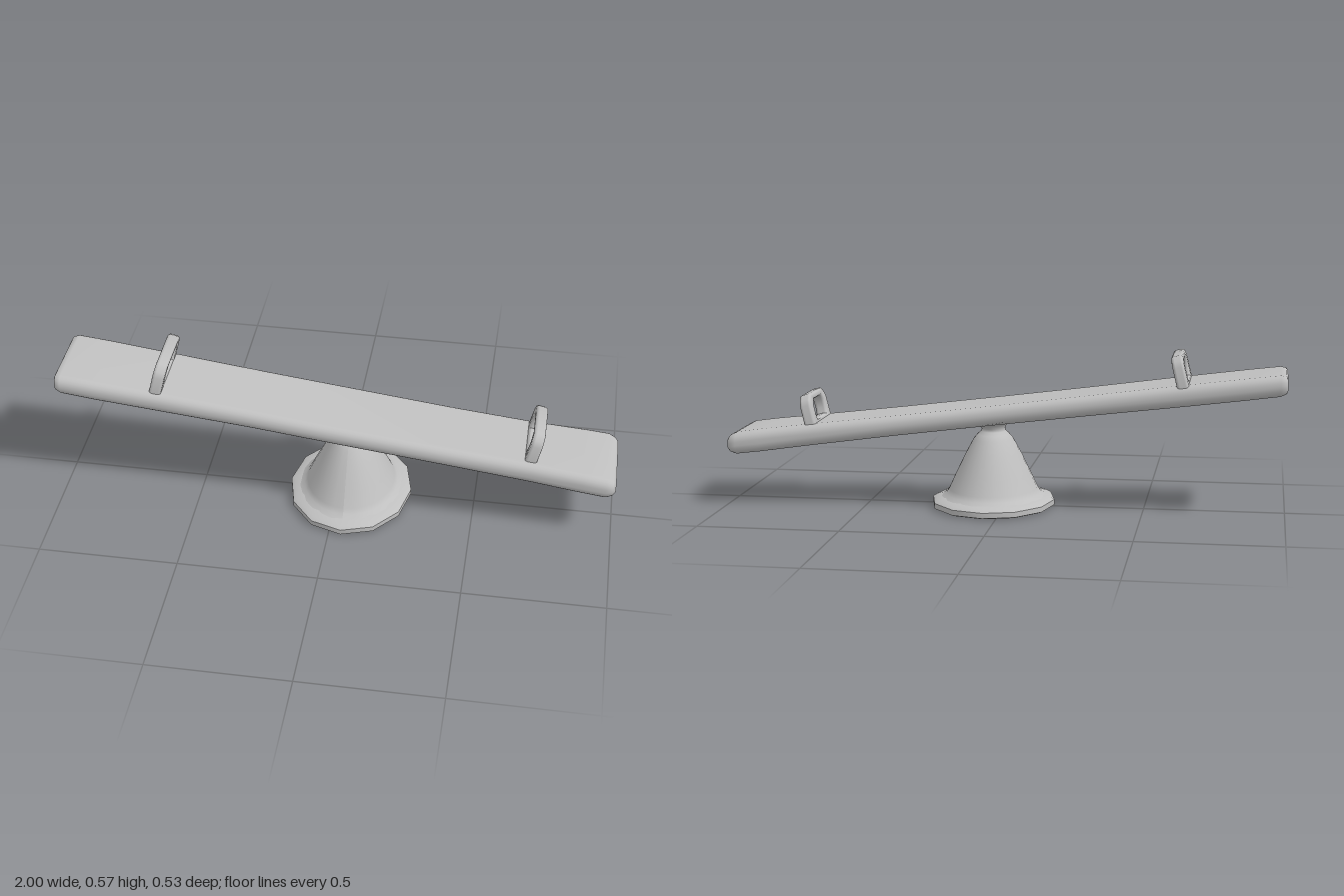
import * as THREE from 'three';
import { toCreasedNormals } from 'three/addons/utils/BufferGeometryUtils.js';

const SLOPE = -0.127;

// Rounded-rectangle ring: list of [y, z] running from +y towards +z
function ring(hw, hh, r, steps = 5) {
  const pts = [];
  const corners = [[1, 1, 0], [-1, 1, 1], [-1, -1, 2], [1, -1, 3]];
  for (const [sy, sz, q] of corners) {
    for (let k = 0; k <= steps; k++) {
      const a = (q + k / steps) * Math.PI / 2;
      pts.push([sy * (hh - r) + r * Math.cos(a), sz * (hw - r) + r * Math.sin(a)]);
    }
  }
  return pts;
}

// Plank lofted along x; stations are [x, centre z, half width, half height]
function plankGeometry() {
  const stations = [
    [-1, 0.017, 0.130, 0.020], [-0.995, 0.017, 0.143, 0.030], [-0.975, 0.017, 0.151, 0.037],
    [-0.85, 0.016, 0.151, 0.038], [-0.62, 0.014, 0.147, 0.038], [-0.3, 0.011, 0.144, 0.036],
    [0.04, 0.010, 0.145, 0.035], [0.4, 0.008, 0.144, 0.036], [0.7, 0.004, 0.145, 0.039],
    [0.88, 0.000, 0.152, 0.041], [0.965, -0.002, 0.155, 0.040], [0.99, -0.002, 0.146, 0.031],
    [1, -0.002, 0.132, 0.020],
  ];
  const pos = [], idx = [];
  let n = 0;
  for (const [x, cz, hw, hh] of stations) {
    const pts = ring(hw, hh, Math.min(0.033, hh * 0.9));
    n = pts.length;
    for (const [y, z] of pts) pos.push(x, 0.348 + SLOPE * x + y, cz + z);
  }
  const last = stations.length - 1;
  for (let i = 0; i < last; i++) {
    for (let j = 0; j < n; j++) {
      const a = i * n + j, b = i * n + (j + 1) % n;
      idx.push(a, b, a + n, b, b + n, a + n);
    }
  }
  // end caps
  for (const i of [0, last]) {
    const c = pos.length / 3, [x, cz] = stations[i];
    pos.push(x, 0.348 + SLOPE * x, cz);
    for (let j = 0; j < n; j++) {
      const a = i * n + j, b = i * n + (j + 1) % n;
      if (i === 0) idx.push(c, b, a); else idx.push(c, a, b);
    }
  }
  const g = new THREE.BufferGeometry();
  g.setAttribute('position', new THREE.Float32BufferAttribute(pos, 3));
  g.setIndex(idx);
  g.computeVertexNormals();
  return g;
}

const lathe = (pts, seg) => new THREE.LatheGeometry(pts.map(p => new THREE.Vector2(...p)), seg);

// Grab handle: chamfered arch with a hand opening, lying across the plank
function handleGeometry() {
  const poly = (P, pts) => new P(pts.map(p => new THREE.Vector2(...p)));
  const shape = poly(THREE.Shape, [
    [-0.132, -0.025], [0.132, -0.025], [0.13, 0.065], [0.118, 0.085], [0.09, 0.102],
    [-0.09, 0.102], [-0.118, 0.085], [-0.13, 0.065],
  ]);
  shape.holes.push(poly(THREE.Path, [
    [-0.073, 0.008], [-0.08, 0.03], [-0.078, 0.06], [-0.06, 0.077],
    [0.06, 0.077], [0.078, 0.06], [0.08, 0.03], [0.073, 0.008],
  ]));
  const g = new THREE.ExtrudeGeometry(shape, {
    depth: 0.02, bevelEnabled: true, bevelThickness: 0.011, bevelSize: 0.009,
    bevelOffset: -0.009, bevelSegments: 3,
  });
  g.translate(0, 0, -0.01);
  g.rotateY(Math.PI / 2);
  return toCreasedNormals(g, 0.9);
}

export function createModel() {
  const model = new THREE.Group();
  model.name = 'seesaw';
  const grey = new THREE.MeshStandardMaterial({ color: 0xbfbfbf });
  grey.name = 'plain grey';
  const add = (name, geometry, parent = model) => {
    const m = new THREE.Mesh(geometry, grey);
    m.name = name;
    parent.add(m);
    return m;
  };

  add('plank', plankGeometry());

  // Pedestal, slightly oval in plan
  const pedestal = new THREE.Group();
  pedestal.name = 'pedestal';
  pedestal.position.x = 0.045;
  pedestal.scale.x = 0.84;
  model.add(pedestal);

  // Foot flange with a shallow dimple underneath
  add('footFlange', toCreasedNormals(lathe([
    [0, 0.022], [0.05, 0.02], [0.09, 0.005], [0.25, 0.001], [0.265, 0.006],
    [0.265, 0.025], [0.25, 0.033], [0.2, 0.044], [0.15, 0.05],
  ], 12), 0.6), pedestal);

  // Cone, narrow neck and flare that follows the plank's underside
  const cone = lathe([
    [0.225, 0.036], [0.203, 0.048], [0.19, 0.065], [0.163, 0.115], [0.12, 0.19],
    [0.085, 0.245], [0.068, 0.262], [0.053, 0.273], [0.05, 0.283], [0.06, 0.296],
    [0.09, 0.309], [0.14, 0.317], [0.17, 0.322],
  ], 28);
  const p = cone.attributes.position;
  for (let i = 0; i < p.count; i++) {
    const w = THREE.MathUtils.smoothstep(p.getY(i), 0.27, 0.31);
    p.setY(i, p.getY(i) + SLOPE * 0.84 * p.getX(i) * w);
  }
  cone.computeVertexNormals();
  add('cone', cone, pedestal);

  // Handles near both ends: [name, x, y, z, tilt, width scale]
  const handle = handleGeometry();
  for (const [name, x, y, z, tilt, w] of [
    ['rightHandle', -0.637, 0.468, 0.01, -0.24, 1],
    ['leftHandle', 0.697, 0.300, 0, -0.24, 0.89],
  ]) {
    const m = add(name, handle);
    m.position.set(x, y, z);
    m.rotation.z = tilt;
    m.scale.z = w;
  }
  return model;
}
